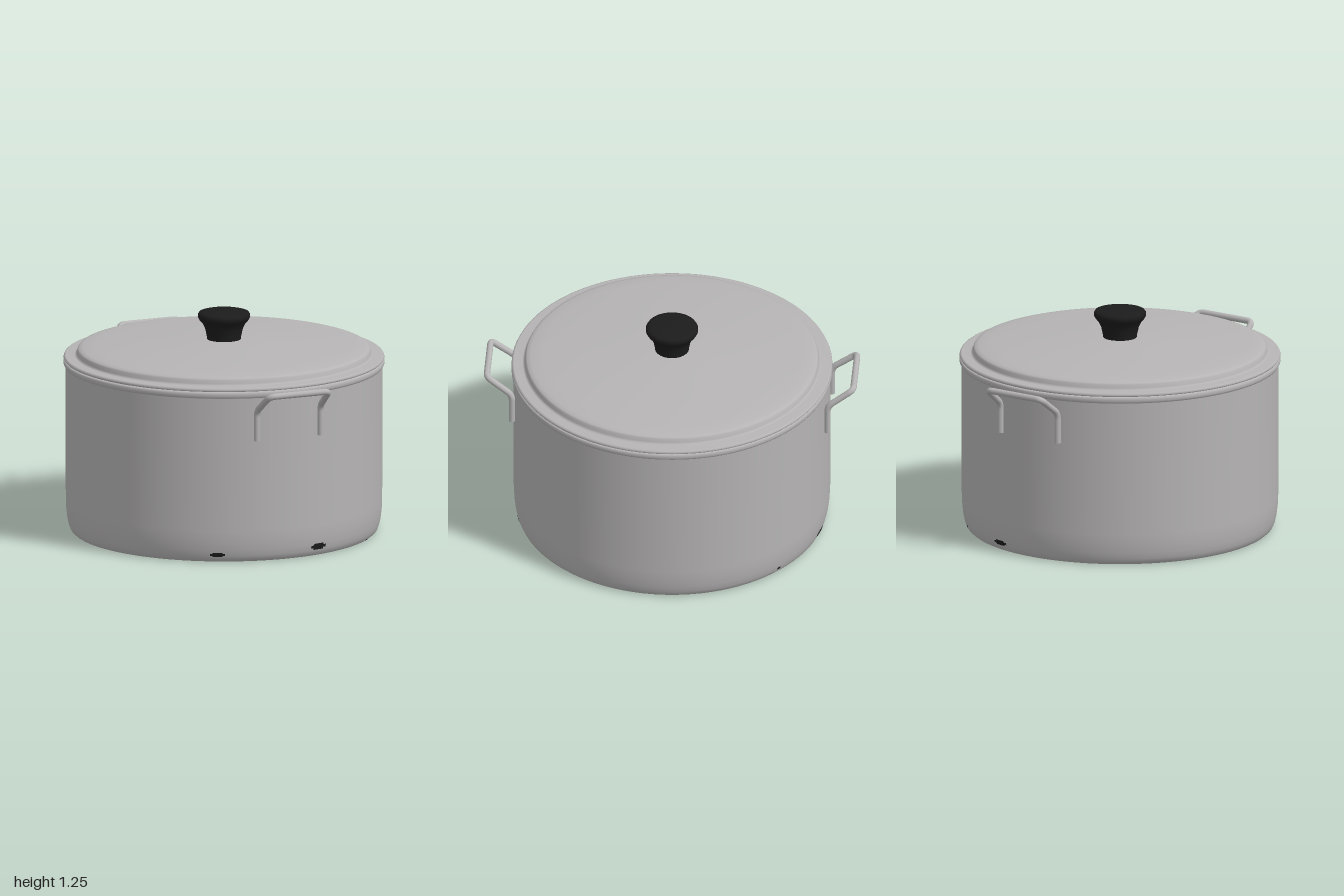
import * as THREE from 'three';

const steel = new THREE.MeshStandardMaterial({ color: 0xb6b4b4 });
steel.name = 'steel';
const black = new THREE.MeshStandardMaterial({ color: 0x1c1c1c });
black.name = 'black';

// Lathe from [radius, height] pairs; a pair given twice makes a sharp edge
function lathe(name, profile, material, segments = 96, start = 0, length = Math.PI * 2) {
  const points = profile.map(([r, y]) => new THREE.Vector2(r, y));
  const mesh = new THREE.Mesh(new THREE.LatheGeometry(points, segments, start, length), material);
  mesh.name = name;
  return mesh;
}

// Polyline with rounded corners
function roundedPath(corners, radius) {
  const path = new THREE.CurvePath();
  let from = corners[0];
  for (let i = 1; i < corners.length - 1; i++) {
    const c = corners[i];
    const toward = (p) => c.clone().add(p.clone().sub(c).setLength(radius));
    const a = toward(corners[i - 1]);
    const b = toward(corners[i + 1]);
    path.add(new THREE.LineCurve3(from, a));
    path.add(new THREE.QuadraticBezierCurve3(a, c, b));
    from = b;
  }
  path.add(new THREE.LineCurve3(from, corners[corners.length - 1]));
  return path;
}

// Bent wire handle pointing along +x
function makeHandle(name) {
  const wire = 0.018;
  const half = [
    [0.902, 0.70, 0.195],
    [0.902, 0.872, 0.195],
    [1.026, 0.978, 0.182],
  ];
  const corners = [
    ...half.map(([x, y, z]) => new THREE.Vector3(0.98 * x, y, z)),
    ...half.slice().reverse().map(([x, y, z]) => new THREE.Vector3(0.98 * x, y, -z)),
  ];
  // The outer bar stands a little further out than the posts
  corners[2].x = corners[3].x = 1.027;
  const handle = new THREE.Group();
  handle.name = name;
  const bar = new THREE.Mesh(
    new THREE.TubeGeometry(roundedPath(corners, 0.035), 140, wire, 14), steel);
  bar.name = 'handleWire';
  handle.add(bar);
  for (const end of [corners[0], corners[5]]) {
    const cap = new THREE.Mesh(new THREE.CircleGeometry(wire, 14), steel);
    cap.name = 'handleEnd';
    cap.rotation.x = Math.PI / 2;
    cap.position.copy(end);
    handle.add(cap);
  }
  return handle;
}

export function createModel() {
  const model = new THREE.Group();
  model.name = 'stockPot';

  // Pot body with rounded base edge and rolled rim
  const wall = [
    [0.845, 0], [0.858, 0.012], [0.868, 0.035], [0.876, 0.07], [0.882, 0.12], [0.885, 0.18],
  ];
  model.add(lathe('potBody', [
    [0, 0], [0.845, 0], ...wall,
    [0.887, 0.94], [0.892, 0.943], [0.897, 0.953], [0.897, 0.968], [0.892, 0.977], [0.865, 0.979],
  ], steel));

  // Dark inside
  model.add(lathe('potInside', [
    [0.865, 0.979], [0.86, 0.12], [0.83, 0.03], [0.83, 0.03], [0, 0.03],
  ], black));

  // Lid: flat flange, step and shallow dome
  model.add(lathe('lid', [
    [0, 0.979], [0.88, 0.979], [0.88, 0.979], [0.893, 0.981], [0.897, 0.988], [0.893, 0.997],
    [0.885, 1.0], [0.835, 1.0], [0.827, 1.004], [0.823, 1.012],
    [0.819, 1.03], [0.812, 1.039], [0.79, 1.046], [0.72, 1.056],
    [0.5, 1.071], [0.25, 1.085], [0.1, 1.09], [0, 1.09],
  ], steel));

  // Flared knob
  model.add(lathe('knob', [
    [0, 1.085], [0.094, 1.085], [0.094, 1.085], [0.097, 1.11], [0.106, 1.15], [0.12, 1.18],
    [0.138, 1.2], [0.146, 1.215], [0.146, 1.23], [0.138, 1.242], [0.115, 1.248], [0, 1.253],
  ], black, 48));

  // Opposite wire handles
  for (const [name, angle] of [['leftHandle', -Math.PI / 6], ['rightHandle', Math.PI * 5 / 6]]) {
    const handle = makeHandle(name);
    handle.rotation.y = angle;
    model.add(handle);
  }

  // Small dark marks on the rounded base edge: angle, height, half width in degrees, half height
  const marks = [
    [33.4, 0.043, 2.8, 0.012], [73, 0.055, 3.3, 0.018], [105, 0.006, 1.5, 0.004],
    [225, 0.048, 3.3, 0.014], [197, 0.04, 0.8, 0.008],
  ];
  const radiusAt = (y) => {
    const i = Math.max(1, wall.findIndex((p) => p[1] >= y));
    const [[r0, y0], [r1, y1]] = [wall[i - 1], wall[i]];
    return r0 + (r1 - r0) * (y - y0) / (y1 - y0);
  };
  for (const [angle, y, halfWidth, halfHeight] of marks) {
    for (const [w, h] of [[1, 0.45], [0.65, 1]]) {
      const profile = [-1, -0.5, 0, 0.5, 1].map((t) => {
        const py = Math.max(0.001, y + t * h * halfHeight);
        return [radiusAt(py) + 0.002 + 0.0005 * h, py];
      });
      model.add(lathe('baseMark', profile, black, 4,
        THREE.MathUtils.degToRad(angle - w * halfWidth),
        THREE.MathUtils.degToRad(2 * w * halfWidth)));
    }
  }

  return model;
}
